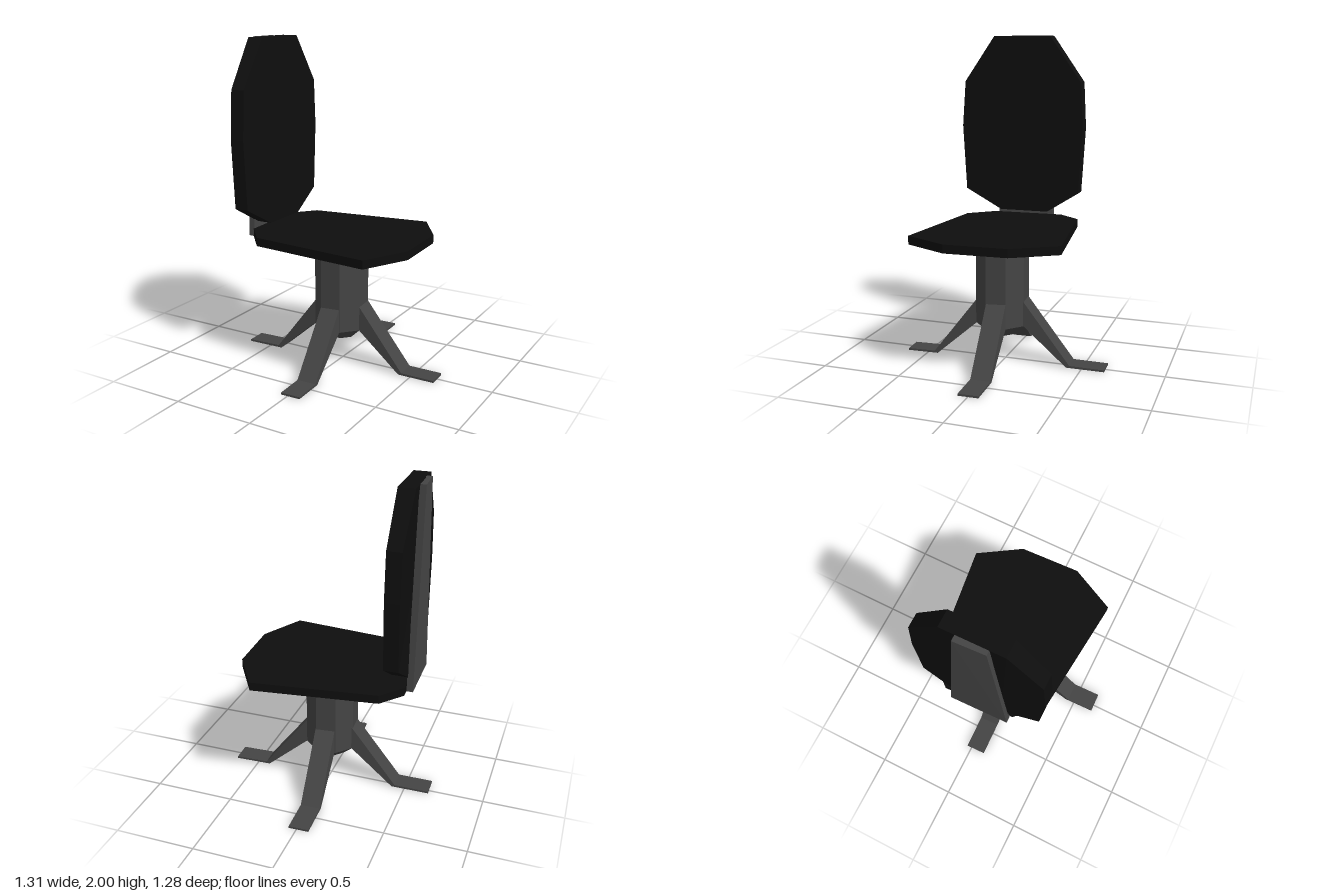
import * as THREE from 'three';

const V = (x, y, z) => new THREE.Vector3(x, y, z);

// Closed, flat-shaded solid through rings of equal point count, with fan caps.
function loft(name, rings, material) {
  const n = rings[0].length;
  const tris = [];
  for (let r = 0; r < rings.length - 1; r++) {
    for (let i = 0; i < n; i++) {
      const j = (i + 1) % n;
      const a = rings[r][i], b = rings[r][j], c = rings[r + 1][j], d = rings[r + 1][i];
      tris.push([a, b, c], [a, c, d]);
    }
  }
  const first = rings[0], last = rings[rings.length - 1];
  for (let i = 1; i < n - 1; i++) {
    tris.push([first[0], first[i + 1], first[i]], [last[0], last[i], last[i + 1]]);
  }
  // Turn all faces outward, whichever way the rings run
  let volume = 0;
  for (const [a, b, c] of tris) volume += a.dot(b.clone().cross(c));
  if (volume < 0) tris.forEach((t) => t.reverse());
  const geometry = new THREE.BufferGeometry().setFromPoints(tris.flat());
  geometry.computeVertexNormals();
  const mesh = new THREE.Mesh(geometry, material);
  mesh.name = name;
  return mesh;
}

// Octagon around the column axis, slightly turned
const octagon = (radius, y) => Array.from({ length: 8 }, (_, i) => {
  const a = (i - 2.5) * Math.PI / 4 - 0.05;
  return V(0.002 + radius * Math.cos(a), y, 0.02 + radius * Math.sin(a));
});

export function createModel() {
  const group = new THREE.Group();
  const metal = new THREE.MeshStandardMaterial({ color: 0x444444, flatShading: true });
  const padding = new THREE.MeshStandardMaterial({ color: 0x0e0e0e, flatShading: true });
  const under = new THREE.MeshStandardMaterial({ color: 0x222222, flatShading: true });

  // Column with a tapered lower end
  group.add(loft('column', [octagon(0.092, 0.175), octagon(0.165, 0.24), octagon(0.165, 0.715)], metal));

  // Seat: eight-sided cushion over a shell that tapers to the column
  const outline = [[-0.405, -0.35], [0.355, -0.45], [0.52, -0.19], [0.535, 0.19],
    [0.395, 0.47], [-0.365, 0.395], [-0.5, 0.24], [-0.52, -0.21]];
  const seatRing = (y) => outline.map(([x, z]) => V(x, y, z));
  group.add(loft('seatShell', [octagon(0.165, 0.715), seatRing(0.785)], under));
  group.add(loft('seatCushion', [seatRing(0.785), seatRing(0.837)], padding));

  // Backrest: flat front, rear face bulging slightly toward the middle
  const backOutline = [[0.22, 2], [0.42, 1.71], [0.44, 1.42], [0.415, 1], [0.175, 0.87],
    [-0.14, 0.87], [-0.345, 1], [-0.37, 1.42], [-0.355, 1.71], [-0.15, 2]];
  const skew = (z) => 0.017 * (z - 0.035);
  const backFront = backOutline.map(([z, y]) => V(-0.418 + skew(z), y, z));
  const backRear = backOutline.map(([z, y]) =>
    V(-0.507 + skew(z) - (Math.abs(z - 0.035) < 0.25 ? 0.013 : 0), y, z));
  group.add(loft('backrest', [backRear, backFront], padding));

  // Tapered plate joining the backrest to the seat
  const plateRing = (y, half) => [[-0.557, -1], [-0.518, -1], [-0.508, 1], [-0.547, 1]]
    .map(([x, side]) => V(x, y, 0.035 + side * half));
  group.add(loft('backSupport', [plateRing(0.785, 0.19), plateRing(2, 0.093)], metal));

  // Four splayed legs, each bending into a flat foot
  const legs = new THREE.Group();
  legs.name = 'legs';
  [0.65, 0.62, 0.658, 0.655].forEach((reach, i) => {
    // stations: [top radius, top y, bottom radius, bottom y]
    const stations = [[0.145, 0.4, 0.145, 0.245], [0.44, 0.019, 0.42, 0.006], [reach, 0.016, reach, 0.004]];
    const rings = stations.map(([rt, yt, rb, yb]) =>
      [V(rt, yt, -0.062), V(rt, yt, 0.062), V(rb, yb, 0.062), V(rb, yb, -0.062)]);
    const leg = loft('leg' + (i + 1), rings, metal);
    leg.rotation.y = 0.025 - i * Math.PI / 2;
    leg.position.set(0.003, 0, 0.015);
    legs.add(leg);
  });
  group.add(legs);

  return group;
}
